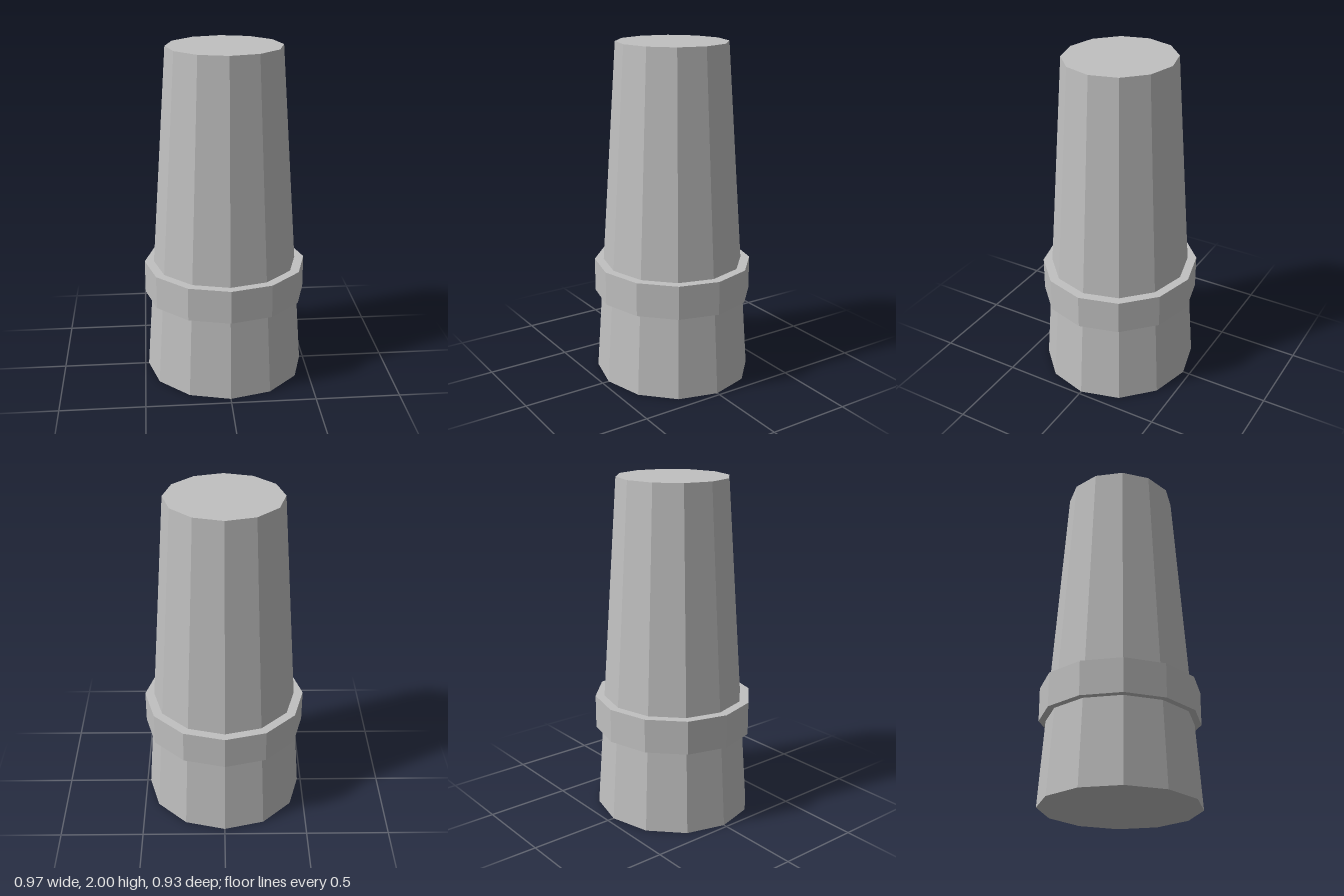
import * as THREE from 'three';

const SIDES = 12;
const DEPTH = 0.957; // the plan is slightly narrower front to back

export function createModel() {
  const group = new THREE.Group();
  const grey = new THREE.MeshStandardMaterial({ color: 0xc0c0c0, flatShading: true });
  grey.name = 'grey';

  // Twelve-sided drum standing between two heights
  function drum(name, topRadius, bottomRadius, y0, y1) {
    const geometry = new THREE.CylinderGeometry(topRadius, bottomRadius, y1 - y0, SIDES);
    geometry.scale(1, 1, DEPTH);
    geometry.translate(0, (y0 + y1) / 2, 0);
    const mesh = new THREE.Mesh(geometry, grey);
    mesh.name = name;
    group.add(mesh);
  }

  drum('taperedColumn', 0.335, 0.479, 0, 2);
  drum('collar', 0.484, 0.484, 0.5, 0.7);

  return group;
}
